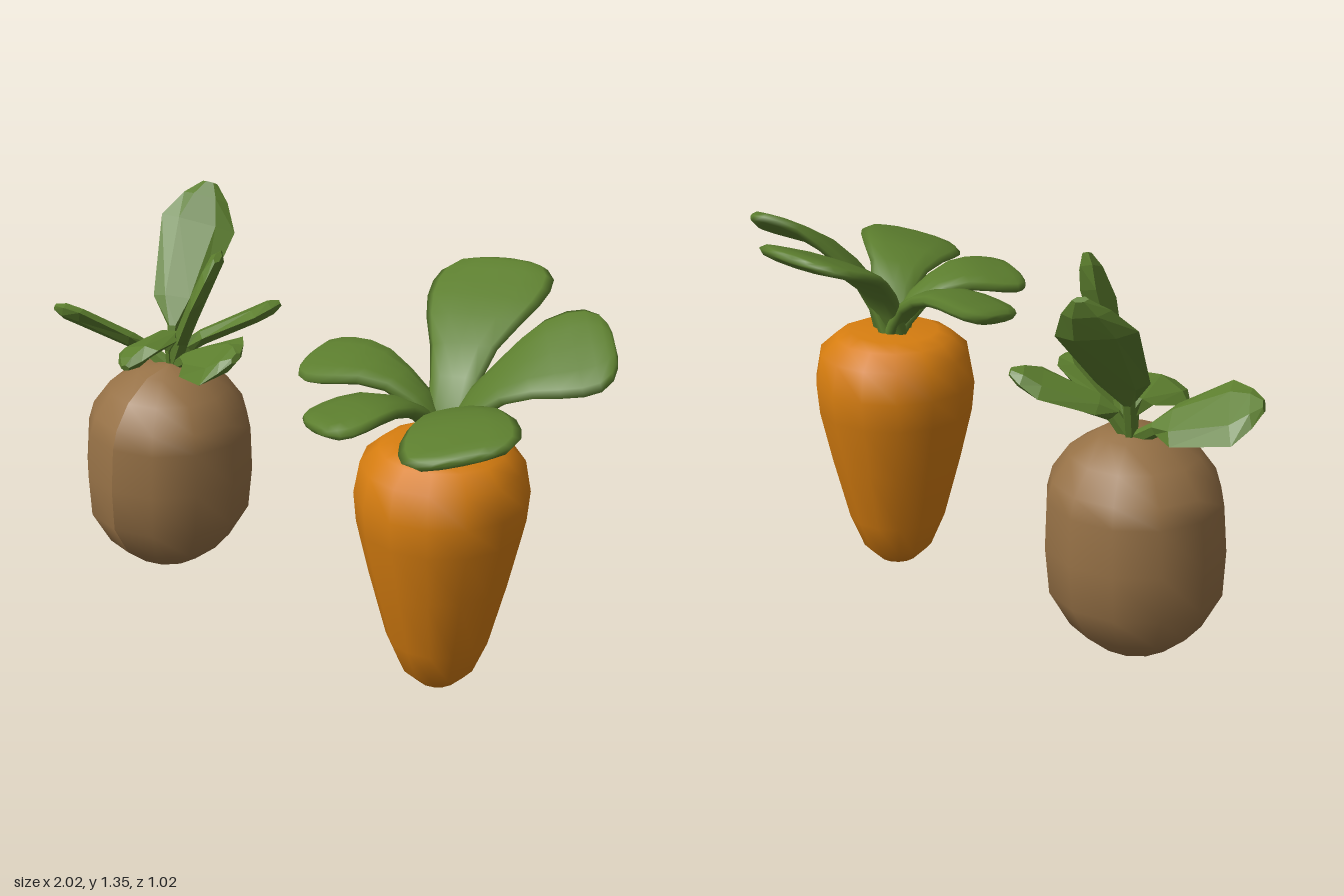
import * as THREE from 'three';

const V = (p) => new THREE.Vector3(...p);

// Leaf skinned from flattened oval cross-sections along a curved midrib.
// rows: [position along midrib, fraction of half width]; side: blade's sideways direction
function leafGeometry(path, side, half, thick, rows, sides, flat) {
  const curve = new THREE.CatmullRomCurve3(path.map(V));
  const pos = [], idx = [];
  for (const [t, w] of rows) {
    const c = curve.getPointAt(t), T = curve.getTangentAt(t);
    const s = V(side).addScaledVector(T, -V(side).dot(T)).normalize();
    const n = T.clone().cross(s);
    const h = thick * Math.min(1, (1 - t) * 14 + 0.45);
    for (let j = 0; j < sides; j++) {
      const a = (j / sides) * Math.PI * 2, y = Math.sin(a);
      const p = c.clone().addScaledVector(s, Math.cos(a) * w * half)
        .addScaledVector(n, Math.sign(y) * Math.abs(y) ** 0.65 * h);
      pos.push(p.x, p.y, p.z);
    }
  }
  for (let i = 0; i < rows.length - 1; i++) {
    for (let j = 0; j < sides; j++) {
      const k = (j + 1) % sides;
      const a = i * sides + j, b = i * sides + k, c = a + sides, d = b + sides;
      idx.push(a, b, c, b, d, c);
    }
  }
  // Close the tip
  const tip = curve.getPointAt(1), last = (rows.length - 1) * sides;
  pos.push(tip.x, tip.y, tip.z);
  for (let j = 0; j < sides; j++) idx.push(last + sides, last + j, last + ((j + 1) % sides));
  let g = new THREE.BufferGeometry();
  g.setAttribute('position', new THREE.Float32BufferAttribute(pos, 3));
  g.setIndex(idx);
  if (flat) g = g.toNonIndexed();
  g.computeVertexNormals();
  return g;
}

export function createModel() {
  const model = new THREE.Group();
  const mat = (name, color) => {
    const m = new THREE.MeshStandardMaterial({ color });
    m.name = name;
    return m;
  };
  const orange = mat('carrotOrange', 0xd67d10);
  const brown = mat('potatoBrown', 0x967146);
  const green = mat('leafGreen', 0x5c7e2e);

  const add = (parent, name, geometry, material) => {
    const m = new THREE.Mesh(geometry, material);
    m.name = name;
    parent.add(m);
    return m;
  };
  const lathe = (profile, sides) =>
    new THREE.LatheGeometry(profile.map(([r, y]) => new THREE.Vector2(r, y)), sides);

  const carrot = new THREE.Group();
  carrot.name = 'carrot';
  const potato = new THREE.Group();
  potato.name = 'potato';
  model.add(carrot, potato);

  // Carrot root
  add(carrot, 'carrotRoot', lathe([
    [0, 0], [0.065, 0.012], [0.12, 0.065], [0.168, 0.18], [0.225, 0.4], [0.266, 0.58],
    [0.275, 0.68], [0.256, 0.785], [0.2, 0.835], [0.15, 0.856], [0, 0.862],
  ], 14), orange).position.set(0.53, 0, 0.05);

  // Carrot leaves: soft blunt paddles
  const paddle = [[0, 0.36], [0.15, 0.38], [0.3, 0.43], [0.45, 0.56], [0.6, 0.8], [0.72, 0.95],
    [0.82, 1], [0.9, 0.96], [0.96, 0.78], [0.99, 0.52], [1, 0.3]];
  const base = [0.53, 0.82, 0.04];
  const carrotLeaves = [
    ['backLeaf', [[0.51, 0.98, -0.02], [0.45, 1.13, -0.2], [0.38, 1.25, -0.49]], [1, 0.04, -0.1], 0.2],
    ['leftBackLeaf', [[0.6, 0.97, 0.02], [0.77, 1.13, -0.06], [0.965, 1.2, -0.2]], [0.1, -0.15, 0.27], 0.175],
    ['leftFrontLeaf', [[0.59, 0.96, 0.1], [0.7, 1.04, 0.24], [0.87, 1.03, 0.445]], [0.32, 0.08, -0.2], 0.18],
    ['rightFrontLeaf', [[0.49, 0.95, 0.11], [0.44, 1.02, 0.25], [0.36, 0.995, 0.47]], [0.26, 0.03, 0.12], 0.14],
    ['rightLeaf', [[0.45, 0.95, 0.04], [0.28, 1.03, 0.05], [0.03, 1.01, 0.08]], [0.1, -0.04, 0.28], 0.14],
  ];
  for (const [name, path, side, half] of carrotLeaves)
    add(carrot, name, leafGeometry([base, ...path], side, half, 0.025, paddle, 12, false), green);

  // Potato body, slightly lopsided
  const body = lathe([
    [0, 0.09], [0.12, 0.11], [0.212, 0.185], [0.277, 0.3], [0.288, 0.45], [0.28, 0.6],
    [0.262, 0.665], [0.205, 0.745], [0.11, 0.805], [0, 0.82],
  ], 12);
  const p = body.attributes.position;
  for (let i = 0; i < p.count; i++) p.setX(i, p.getX(i) + 0.04 * (p.getY(i) - 0.45));
  body.computeVertexNormals();
  add(potato, 'potatoBody', body, brown).position.set(-0.6, 0, 0.06);

  // Potato leaves: faceted, pointed blades on thin stalks
  const blade = [[0, 0.14], [0.22, 0.16], [0.36, 0.65], [0.78, 1], [0.92, 0.6], [1, 0.2]];
  const root = [-0.6, 0.79, 0.03];
  const potatoLeaves = [
    ['tallBackLeaf', [[-0.62, 0.95, -0.01], [-0.68, 1.14, -0.17], [-0.7, 1.34, -0.3]], [0.2, -0.03, -0.1], 0.13],
    ['smallBackLeaf', [[-0.55, 0.88, -0.01], [-0.45, 0.94, -0.11], [-0.34, 1.01, -0.23]], [0.1, 0.04, 0.13], 0.085],
    ['tallLeftLeaf', [[-0.52, 0.95, 0.05], [-0.4, 1.12, 0.11], [-0.29, 1.29, 0.14]], [-0.08, 0.1, -0.24], 0.14],
    ['lowLeftLeaf', [[-0.53, 0.84, 0.04], [-0.4, 0.88, 0.08], [-0.24, 0.95, 0.12]], [0.03, 0.1, -0.18], 0.12],
    ['frontLeaf', [[-0.59, 0.92, 0.06], [-0.59, 0.92, 0.17], [-0.58, 0.88, 0.28]], [0.18, 0.06, 0], 0.095],
    ['lowRightLeaf', [[-0.67, 0.84, 0.05], [-0.81, 0.9, 0.1], [-0.98, 0.97, 0.19]], [0.09, 0.13, 0.18], 0.13],
  ];
  for (const [name, path, side, half] of potatoLeaves)
    add(potato, name, leafGeometry([root, ...path], side, half, 0.025, blade, 6, true), green);

  return model;
}
